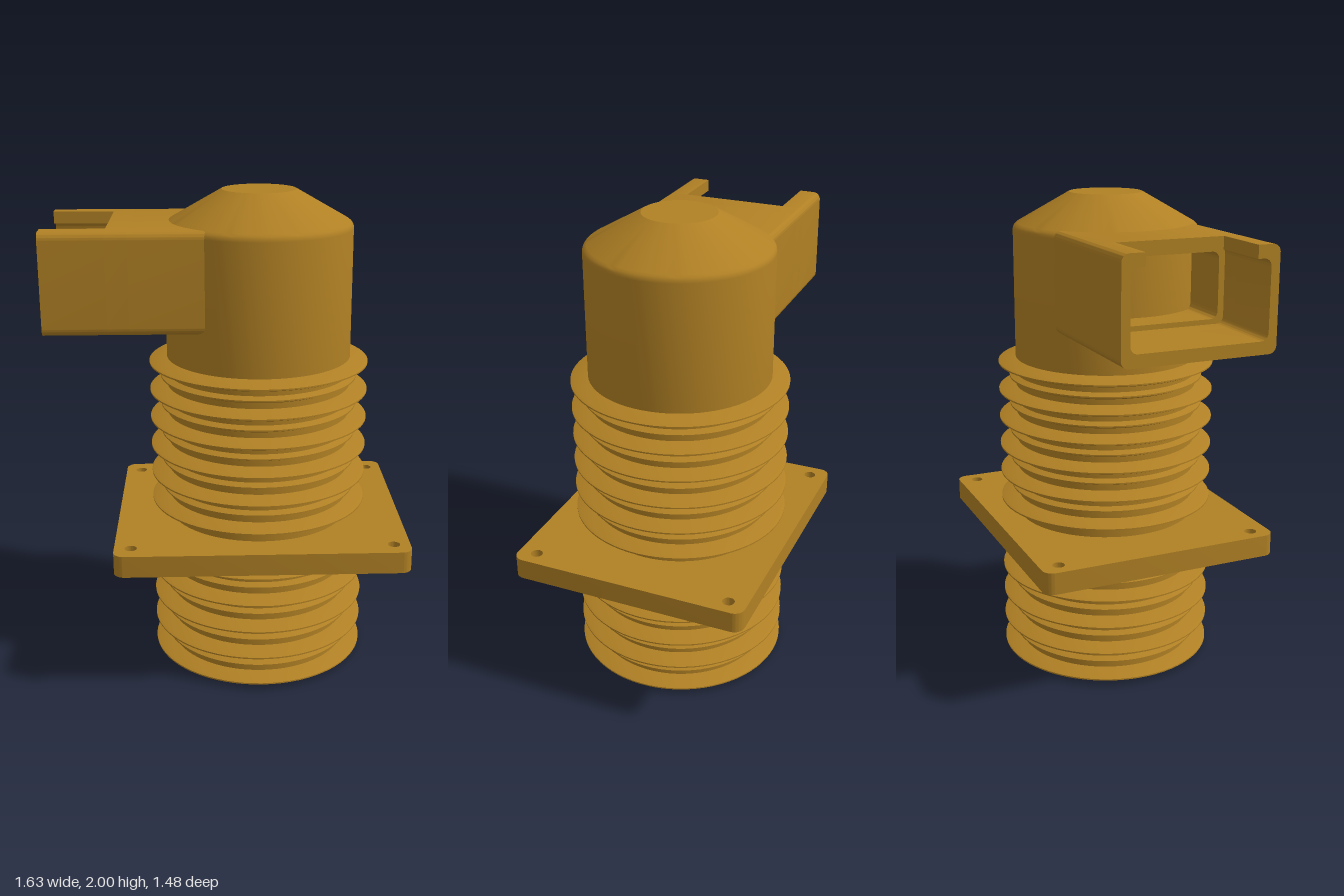
import * as THREE from 'three';
import { toCreasedNormals } from 'three/addons/utils/BufferGeometryUtils.js';

const material = new THREE.MeshStandardMaterial({ color: 0xb08024 });

function mesh(name, geometry) {
  const m = new THREE.Mesh(toCreasedNormals(geometry, 0.5), material);
  m.name = name;
  return m;
}

// Rounded rectangle drawn into a Shape or Path
function roundedRect(path, x0, y0, x1, y1, r) {
  path.moveTo(x0 + r, y0);
  path.lineTo(x1 - r, y0);
  path.absarc(x1 - r, y0 + r, r, -Math.PI / 2, 0);
  path.lineTo(x1, y1 - r);
  path.absarc(x1 - r, y1 - r, r, 0, Math.PI / 2);
  path.lineTo(x0 + r, y1);
  path.absarc(x0 + r, y1 - r, r, Math.PI / 2, Math.PI);
  path.lineTo(x0, y0 + r);
  path.absarc(x0 + r, y0 + r, r, Math.PI, Math.PI * 1.5);
  return path;
}

const extrude = (shape, depth) =>
  new THREE.ExtrudeGeometry(shape, { depth, bevelEnabled: false, curveSegments: 10 });

// Hollow ribbed column with a conical cap, turned in one piece
function column() {
  const R = 0.38, pts = [[0, 1.42], [0.325, 1.42], [0.325, 0]];
  const addRib = (y, r, half) => pts.push(
    [R, y - half], [r - 0.012, y - 0.008], [r, y - 0.003],
    [r, y + 0.003], [r - 0.012, y + 0.008], [R, y + half]);
  for (const [start, count] of [[0.022, 9], [0.702, 11]]) {
    for (let i = 0; i < count; i++) {
      const large = i % 2 === 0;
      addRib(start + i * 0.06, large ? 0.453 : 0.407, large ? 0.022 : 0.014);
    }
  }
  pts.push([R, 1.85], [0.378, 1.862], [0.372, 1.871], [0.362, 1.879], [0.15, 2], [0, 2]);
  return mesh('ribbedColumn',
    new THREE.LatheGeometry(pts.map(([x, y]) => new THREE.Vector2(x, y)), 72));
}

// Mounting plate with four bolt holes
function flange() {
  const shape = roundedRect(new THREE.Shape(), -0.595, -0.505, 0.595, 0.505, 0.045);
  for (const sx of [-1, 1]) for (const sy of [-1, 1]) {
    shape.holes.push(new THREE.Path().absarc(sx * 0.528, sy * 0.427, 0.025, 0, Math.PI * 2, true));
  }
  const g = extrude(shape, 0.09);
  g.rotateX(-Math.PI / 2);
  g.translate(0, 0.55, 0);
  return mesh('mountingFlange', g);
}

// Side terminal box: cross-sections extruded outwards, open at the end
function terminalBox() {
  const W = 0.31, Y0 = 1.48, Y1 = 1.88;
  const w = 0.275, y0 = 1.53, y1 = 1.83, r = 0.03, n = 0.22;
  const box = new THREE.Group();
  box.name = 'terminalBox';
  const tube = (hw, h0, h1) => {
    const s = roundedRect(new THREE.Shape(), -W, Y0, W, Y1, r);
    s.holes.push(roundedRect(new THREE.Path(), -hw, h0, hw, h1, r));
    return s;
  };

  // Mouth section with the top wall notched away
  const mouth = new THREE.Shape();
  mouth.moveTo(-n, Y1);
  mouth.lineTo(-W + r, Y1);
  mouth.absarc(-W + r, Y1 - r, r, Math.PI / 2, Math.PI);
  mouth.absarc(-W + r, Y0 + r, r, Math.PI, Math.PI * 1.5);
  mouth.absarc(W - r, Y0 + r, r, -Math.PI / 2, 0);
  mouth.absarc(W - r, Y1 - r, r, 0, Math.PI / 2);
  mouth.lineTo(n, Y1);
  mouth.lineTo(n, y1);
  mouth.absarc(w - r, y1 - r, r, Math.PI / 2, 0, true);
  mouth.absarc(w - r, y0 + r, r, 0, -Math.PI / 2, true);
  mouth.absarc(-w + r, y0 + r, r, Math.PI * 1.5, Math.PI, true);
  mouth.absarc(-w + r, y1 - r, r, Math.PI, Math.PI / 2, true);
  mouth.lineTo(-n, y1);

  const sections = [
    ['boxRoot', tube(0.25, 1.55, 1.81), 0.19, 0.51],
    ['boxWall', tube(w, y0, y1), 0.51, 0.595],
    ['notchedMouth', mouth, 0.595, 0.845],
  ];
  for (const [name, shape, from, to] of sections) {
    const g = extrude(shape, to - from);
    g.translate(0, 0, from);
    g.rotateY(-Math.PI / 2);
    box.add(mesh(name, g));
  }
  return box;
}

export function createModel() {
  const model = new THREE.Group();
  model.name = 'bushing';
  const turned = new THREE.Group();
  turned.name = 'body';
  turned.position.x = 0.053;
  turned.rotation.y = THREE.MathUtils.degToRad(35);
  turned.add(column(), flange(), terminalBox());
  model.add(turned);
  return model;
}
